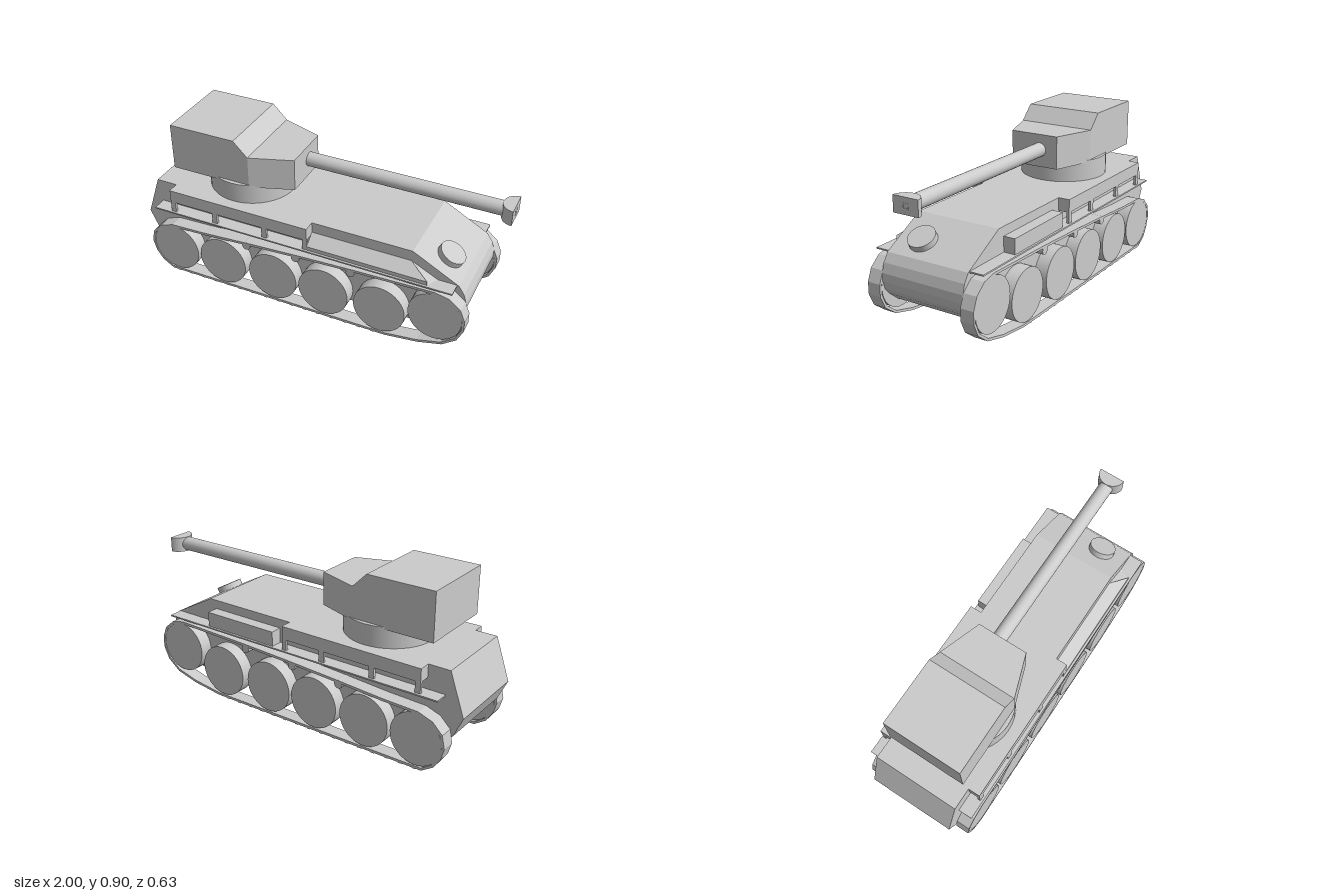
import * as THREE from 'three';

const mat = new THREE.MeshStandardMaterial({ color: 0xcccccc, flatShading: true, side: THREE.DoubleSide });
const smooth = new THREE.MeshStandardMaterial({ color: 0xcccccc });
const HALF = 0.24; // half width of the hull
const OUT = 0.315; // outer face of the tracks

export function createModel() {
  const root = new THREE.Group();

  const add = (name, geo, parent = root, m = mat) => {
    const mesh = new THREE.Mesh(geo, m);
    mesh.name = name;
    parent.add(mesh);
    return mesh;
  };
  const shapeOf = pts => new THREE.Shape(pts.map(p => new THREE.Vector2(p[0], p[1])));
  // side profile (x, y) extruded from z0 to z1
  const slab = (shape, z0, z1) =>
    new THREE.ExtrudeGeometry(shape, { depth: z1 - z0, bevelEnabled: false, curveSegments: 10 }).translate(0, 0, z0);
  // box given by its limits
  const box = (x0, x1, y0, y1, z0, z1) =>
    new THREE.BoxGeometry(x1 - x0, y1 - y0, z1 - z0).translate((x0 + x1) / 2, (y0 + y1) / 2, (z0 + z1) / 2);
  const disc = (x, y, z0, z1, r, n) =>
    new THREE.CylinderGeometry(r, r, z1 - z0, n).rotateX(Math.PI / 2).translate(x, y, (z0 + z1) / 2);

  // hull with sloped tail, sloped front plate and rounded nose
  add('hull', slab(shapeOf([
    [-0.8, 0.1], [-0.95, 0.2], [-1, 0.31], [-0.92, 0.54], [0.58, 0.54], [0.83, 0.405],
    [0.86, 0.36], [0.875, 0.31], [0.875, 0.265], [0.86, 0.22], [0.83, 0.185], [0.77, 0.135], [0.66, 0.1],
  ]), -HALF, HALF));

  // driver hatch lying on the front plate
  const hatch = add('driverHatch', new THREE.CylinderGeometry(0.073, 0.073, 0.07, 32), root, smooth);
  hatch.position.set(0.73, 0.457, 0.095);
  hatch.rotation.z = -Math.atan2(0.135, 0.25);

  // running gear, fenders and side lockers, one set per side
  const wheels = [[-0.79, 0.165], [-0.49, 0.165], [-0.18, 0.165], [0.12, 0.165], [0.44, 0.165], [0.74, 0.23]];
  const outline = [
    [-0.83, 0.003], [0.48, 0.003], [0.66, 0.027], [0.79, 0.062], [0.865, 0.12], [0.897, 0.19], [0.897, 0.255],
    [0.87, 0.32], [0.81, 0.37], [0.73, 0.387], [0.3, 0.375], [0, 0.362], [-0.3, 0.345], [-0.6, 0.325],
    [-0.8, 0.318], [-0.88, 0.29], [-0.935, 0.235], [-0.95, 0.165], [-0.932, 0.1], [-0.895, 0.045],
  ];
  // same loop moved inward along its corner normals
  const inset = (pts, d) => pts.map((p, i) => {
    const a = pts[(i + pts.length - 1) % pts.length], b = pts[(i + 1) % pts.length];
    const dx = b[0] - a[0], dy = b[1] - a[1], l = Math.hypot(dx, dy);
    return [p[0] - dy / l * d, p[1] + dx / l * d];
  });
  const trackShape = shapeOf(outline);
  trackShape.holes.push(new THREE.Path(inset(outline, 0.014).reverse().map(p => new THREE.Vector2(p[0], p[1]))));

  for (const s of [1, -1]) {
    const side = new THREE.Group();
    side.name = s > 0 ? 'leftSideGear' : 'rightSideGear';
    root.add(side);
    const span = (a, b) => s > 0 ? [a, b] : [-b, -a];

    add('track', slab(trackShape, ...span(HALF, OUT)), side);
    // ground pads
    for (let x = -0.8; x < 0.48; x += 0.08) add('trackPad', box(x, x + 0.02, 0, 0.005, ...span(HALF, OUT)), side);
    for (const [x, y] of wheels) add('roadWheel', disc(x, y, ...span(HALF, 0.314), 0.143, 40), side, smooth);
    for (const [x, y] of [[-0.335, 0.32], [-0.04, 0.335], [0.275, 0.345]])
      add('returnRoller', disc(x, y, ...span(HALF - 0.01, 0.312), 0.024, 16), side, smooth);

    add('fender', box(-0.9, 0.82, 0.4, 0.408, ...span(HALF - 0.01, 0.317)), side);

    // overhanging locker with three open bays below it
    add('sideLocker', box(-0.8, 0.025, 0.468, 0.54, ...span(HALF - 0.01, 0.305)), side);
    for (const [x0, x1] of [[-0.8, -0.77], [-0.54, -0.51], [-0.24, -0.21], [0, 0.025]])
      add('lockerPost', box(x0, x1, 0.408, 0.468, ...span(0.29, 0.305)), side);
  }

  // sloped guard on the left fender: inner edge high and short, outer edge low and long
  const guard = new THREE.BufferGeometry();
  guard.setAttribute('position', new THREE.Float32BufferAttribute([
    0.025, 0.48, 0.24, 0.575, 0.48, 0.24, 0.685, 0.43, 0.305, 0.025, 0.43, 0.305,
    0.025, 0.408, 0.305, 0.685, 0.408, 0.305, 0.72, 0.408, 0.24,
  ], 3));
  guard.setIndex([0, 3, 2, 0, 2, 1, 3, 4, 5, 3, 5, 2, 1, 2, 5, 1, 5, 6]);
  guard.computeVertexNormals();
  add('slopedGuard', guard);

  // storage box on the right fender
  add('storageBox', box(0.09, 0.54, 0.408, 0.49, -0.305, -0.23));

  // turret ring
  add('turretRing', new THREE.CylinderGeometry(0.242, 0.242, 0.115, 40).translate(-0.44, 0.595, 0), root, smooth);

  // turret: raised rear and tapered front
  const turret = new THREE.Group();
  turret.name = 'turret';
  root.add(turret);
  add('turretRear', slab(shapeOf([
    [-0.81, 0.64], [-0.35, 0.64], [-0.35, 0.82], [-0.43, 0.9], [-0.81, 0.9],
  ]), -0.22, 0.22), turret);
  const front = shapeOf([[-0.36, -0.22], [-0.35, -0.22], [-0.12, -0.14], [-0.12, 0.14], [-0.35, 0.22], [-0.36, 0.22]]);
  add('turretFront', slab(front, 0, 0.18).rotateX(-Math.PI / 2).translate(0, 0.64, 0), turret);

  // gun: barrel and flared muzzle block with a square bore
  const gun = new THREE.Group();
  gun.name = 'gun';
  gun.position.set(0, 0.735, -0.032);
  root.add(gun);
  add('barrel', new THREE.CylinderGeometry(0.039, 0.039, 1.09, 24).rotateZ(Math.PI / 2).translate(0.405, 0, 0), gun, smooth);
  const muzzle = new THREE.Shape();
  muzzle.absellipse(1, 0, 0.068, 0.072, Math.PI / 2, Math.PI * 1.5, false);
  muzzle.closePath();
  add('muzzle', slab(muzzle, -0.042, 0.042).rotateX(-Math.PI / 2), gun);
  const ring = (w, h) => [[-w, -h], [w, -h], [w, h], [-w, h]];
  const rim = shapeOf(ring(0.016, 0.014));
  rim.holes.push(new THREE.Path(ring(0.012, 0.01).reverse().map(p => new THREE.Vector2(p[0], p[1]))));
  add('boreRim', slab(rim, 0, 0.004).rotateY(Math.PI / 2).translate(0.997, 0, 0), gun);

  return root;
}
